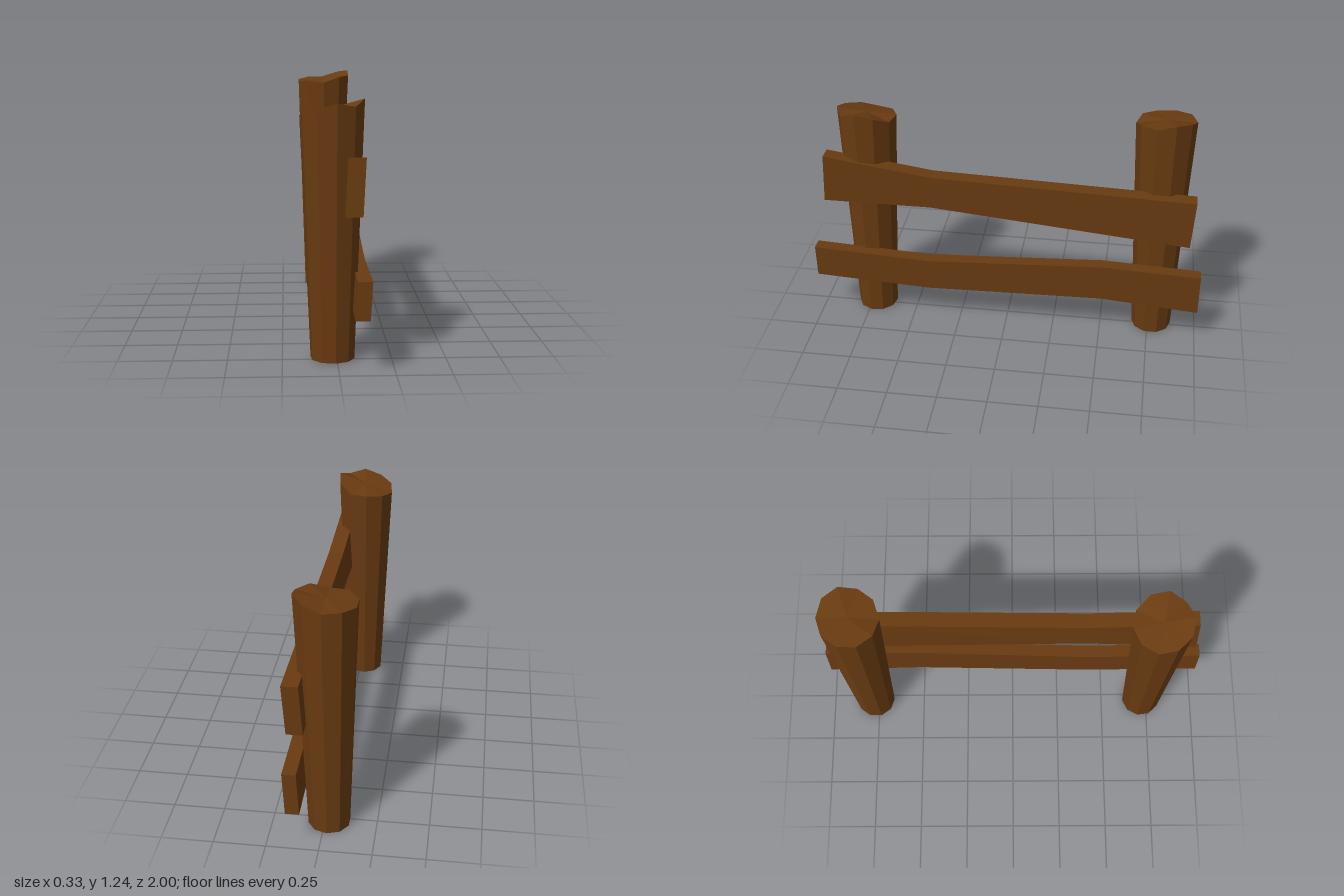
import * as THREE from 'three';

const wood = new THREE.MeshStandardMaterial({ color: 0x693b11, flatShading: true });
wood.name = 'brown wood';

// Skin a list of equal-length rings and close both ends with fans
function loft(name, rings) {
  const n = rings[0].length;
  const last = rings.length - 1;
  const pos = [];
  const tri = (...pts) => pts.forEach((p) => pos.push(p.x, p.y, p.z));
  const centre = (ring) => ring.reduce((s, p) => s.add(p), new THREE.Vector3()).divideScalar(n);
  const start = centre(rings[0]);
  const end = centre(rings[last]);
  for (let i = 0; i < n; i++) {
    const j = (i + 1) % n;
    for (let r = 0; r < last; r++) {
      const a = rings[r], b = rings[r + 1];
      tri(a[i], b[i], a[j]);
      tri(a[j], b[i], b[j]);
    }
    tri(start, rings[0][i], rings[0][j]);
    tri(end, rings[last][j], rings[last][i]);
  }
  const geo = new THREE.BufferGeometry();
  geo.setAttribute('position', new THREE.Float32BufferAttribute(pos, 3));
  geo.computeVertexNormals();
  const mesh = new THREE.Mesh(geo, wood);
  mesh.name = name;
  return mesh;
}

// Ten-sided post, wider at the top, with an uneven cut: one height per corner
function post(name, base, top, turn, heights) {
  const ring = ([cx, cz, radius], y) => heights.map((h, i) => {
    const a = THREE.MathUtils.degToRad(turn + i * 36);
    return new THREE.Vector3(cx + radius * Math.cos(a), y ?? h, cz + radius * Math.sin(a));
  });
  return loft(name, [ring(base, 0), ring(top)]);
}

// Plank running front to back; each station is
// [z at top, z at bottom, top y, bottom y, outer x at top, outer x at bottom]
function rail(name, thickness, stations) {
  return loft(name, stations.map(([zt, zb, yt, yb, xt, xb]) => [
    new THREE.Vector3(xb, yb, zb),
    new THREE.Vector3(xt, yt, zt),
    new THREE.Vector3(xt - thickness, yt, zt),
    new THREE.Vector3(xb - thickness, yb, zb),
  ]));
}

export function createModel() {
  const fence = new THREE.Group();
  fence.name = 'fence';

  fence.add(
    post('frontPost', [-0.02, 0.72, 0.102], [-0.022, 0.715, 0.148], 11,
      [1.19, 1.16, 1.175, 1.15, 1.13, 1.11, 1.12, 1.13, 1.13, 1.17]),
    post('backPost', [-0.02, -0.77, 0.102], [-0.012, -0.772, 0.148], 18,
      [1.215, 1.21, 1.18, 1.19, 1.185, 1.19, 1.2, 1.2, 1.23, 1.24]),
    rail('upperRail', 0.078, [
      [0.92, 0.935, 0.95, 0.69, 0.12, 0.106],
      [0.37, 0.38, 0.88, 0.70, 0.137, 0.124],
      [-0.945, -0.93, 0.85, 0.59, 0.166, 0.152],
    ]),
    rail('lowerRail', 0.066, [
      [1, 1, 0.42, 0.245, 0.145, 0.135],
      [0.4, 0.4, 0.39, 0.215, 0.15, 0.14],
      [-0.5, -0.5, 0.44, 0.24, 0.16, 0.15],
      [-1, -1, 0.42, 0.2, 0.164, 0.153],
    ]),
  );
  return fence;
}
